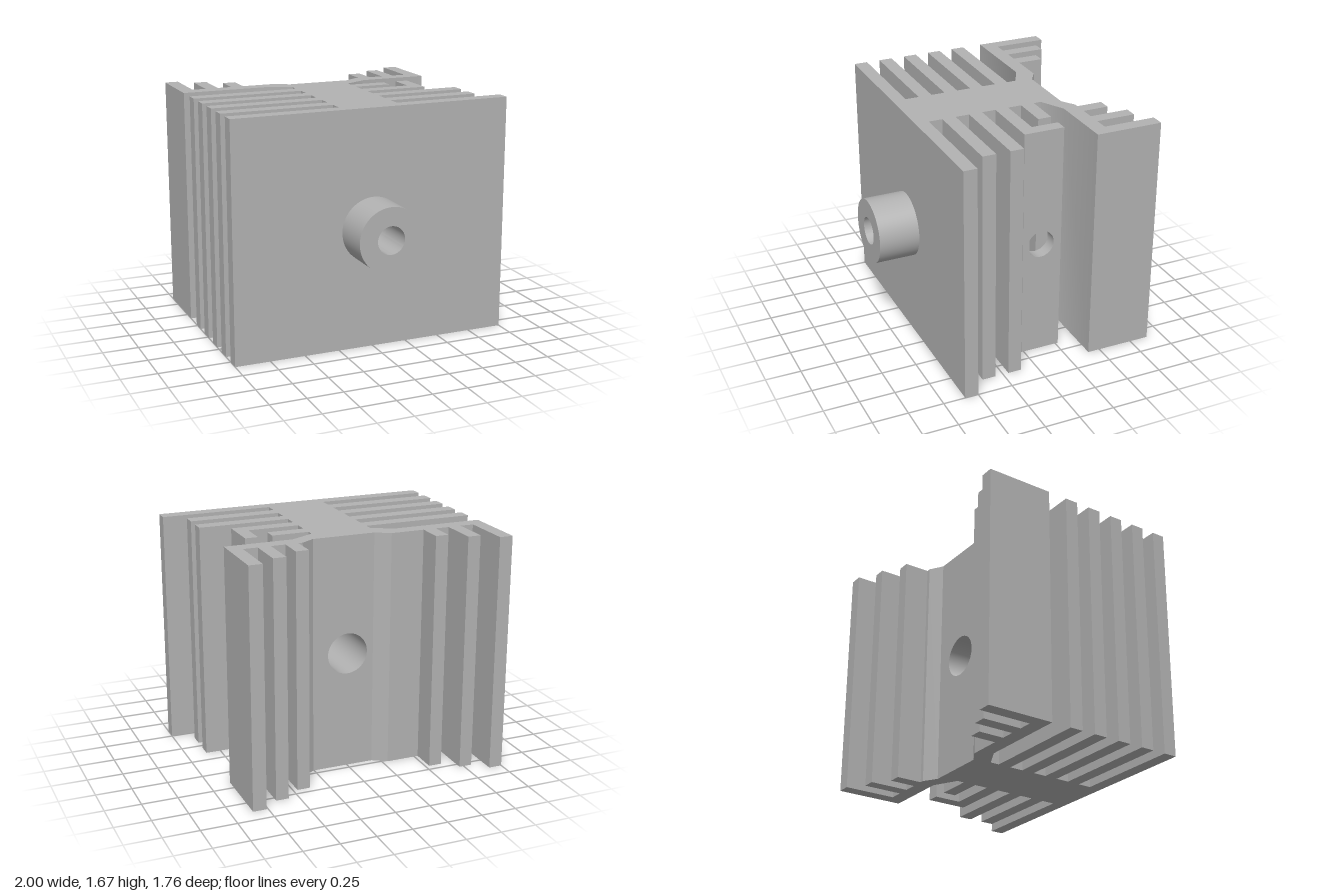
import * as THREE from 'three';
import { toCreasedNormals } from 'three/addons/utils/BufferGeometryUtils.js';

const HEIGHT = 1.67;
const MID = HEIGHT / 2;
const CORE_L = -0.215, CORE_R = 0.21;

const extrude = (shape, depth) => toCreasedNormals(
  new THREE.ExtrudeGeometry(shape, { depth, bevelEnabled: false, curveSegments: 32 }), 0.5);

function rectShape(x0, x1, y0, y1) {
  return new THREE.Shape([[x0, y0], [x1, y0], [x1, y1], [x0, y1]].map(p => new THREE.Vector2(...p)));
}

function addHole(shape, x, y, r) {
  shape.holes.push(new THREE.Path().absarc(x, y, r, 0, Math.PI * 2, true));
  return shape;
}

export function createModel() {
  const model = new THREE.Group();
  model.name = 'heatSink';
  const aluminium = new THREE.MeshStandardMaterial({ color: 0xb2b2b2 });
  aluminium.name = 'aluminium';

  const add = (name, geometry) => {
    const mesh = new THREE.Mesh(geometry, aluminium);
    mesh.name = name;
    model.add(mesh);
    return mesh;
  };

  // Upright piece from an [x, z] plan outline
  const addPlan = (name, points) => {
    const shape = new THREE.Shape(points.map(([x, z]) => new THREE.Vector2(x, -z)));
    add(name, extrude(shape, HEIGHT).rotateX(-Math.PI / 2));
  };

  // Full-height slab
  const addFin = (name, x0, x1, z0, z1) => {
    add(name, new THREE.BoxGeometry(x1 - x0, HEIGHT, z1 - z0))
      .position.set((x0 + x1) / 2, MID, (z0 + z1) / 2);
  };

  // Central core: narrow bore in front, wider bore at the back
  const addCore = (name, z0, z1, bore) => {
    const shape = addHole(rectShape(CORE_L, CORE_R, 0, HEIGHT), 0, MID, bore);
    add(name, extrude(shape, z1 - z0)).position.z = z0;
  };
  addCore('coreFront', 0.1, 0.595, 0.098);
  addCore('coreBack', -0.455, 0.1, 0.145);

  // Boss on the front plate
  const ring = new THREE.Shape().absarc(0, MID, 0.228, 0, Math.PI * 2, false);
  add('boss', extrude(addHole(ring, 0, MID, 0.098), 0.285)).position.z = 0.595;

  // Side fins; the foremost pair forms the front plate
  const finZ = [-0.27, -0.078, 0.115, 0.308, 0.5];
  const rightEnds = [0.47, 0.57, 0.855, 0.855, 1];
  finZ.forEach((z, i) => {
    addFin('finLow' + i, -1, CORE_L, z, z + 0.095);
    addFin('finHigh' + i, CORE_R, rightEnds[i], z, z + 0.095);
  });

  // Drilled lip closing the end of one fin
  const lip = addHole(rectShape(-0.017, 0.27, 0, HEIGHT), 0.118, MID, 0.097);
  add('drilledLip', extrude(lip, 0.09).rotateY(Math.PI / 2)).position.x = 0.57;

  // Rear wings with three backward fins each
  addPlan('rearWingHigh', [
    [CORE_R, -0.322], [0.38, -0.412], [0.855, -0.412], [0.855, -0.885], [0.76, -0.885],
    [0.76, -0.515], [0.66, -0.515], [0.66, -0.793], [0.57, -0.793], [0.57, -0.515],
    [0.47, -0.515], [0.47, -0.697], [0.38, -0.697], [0.38, -0.515], [0.35, -0.515],
    [0.255, -0.455], [CORE_R, -0.455],
  ]);
  addPlan('rearWingLow', [
    [CORE_L, -0.335], [-0.365, -0.412], [-1, -0.412], [-1, -0.885], [-0.905, -0.885],
    [-0.905, -0.515], [-0.81, -0.515], [-0.81, -0.793], [-0.718, -0.793], [-0.718, -0.515],
    [-0.62, -0.515], [-0.62, -0.697], [-0.528, -0.697], [-0.528, -0.515], [-0.29, -0.515],
    [-0.19, -0.455], [CORE_L, -0.455],
  ]);

  return model;
}
